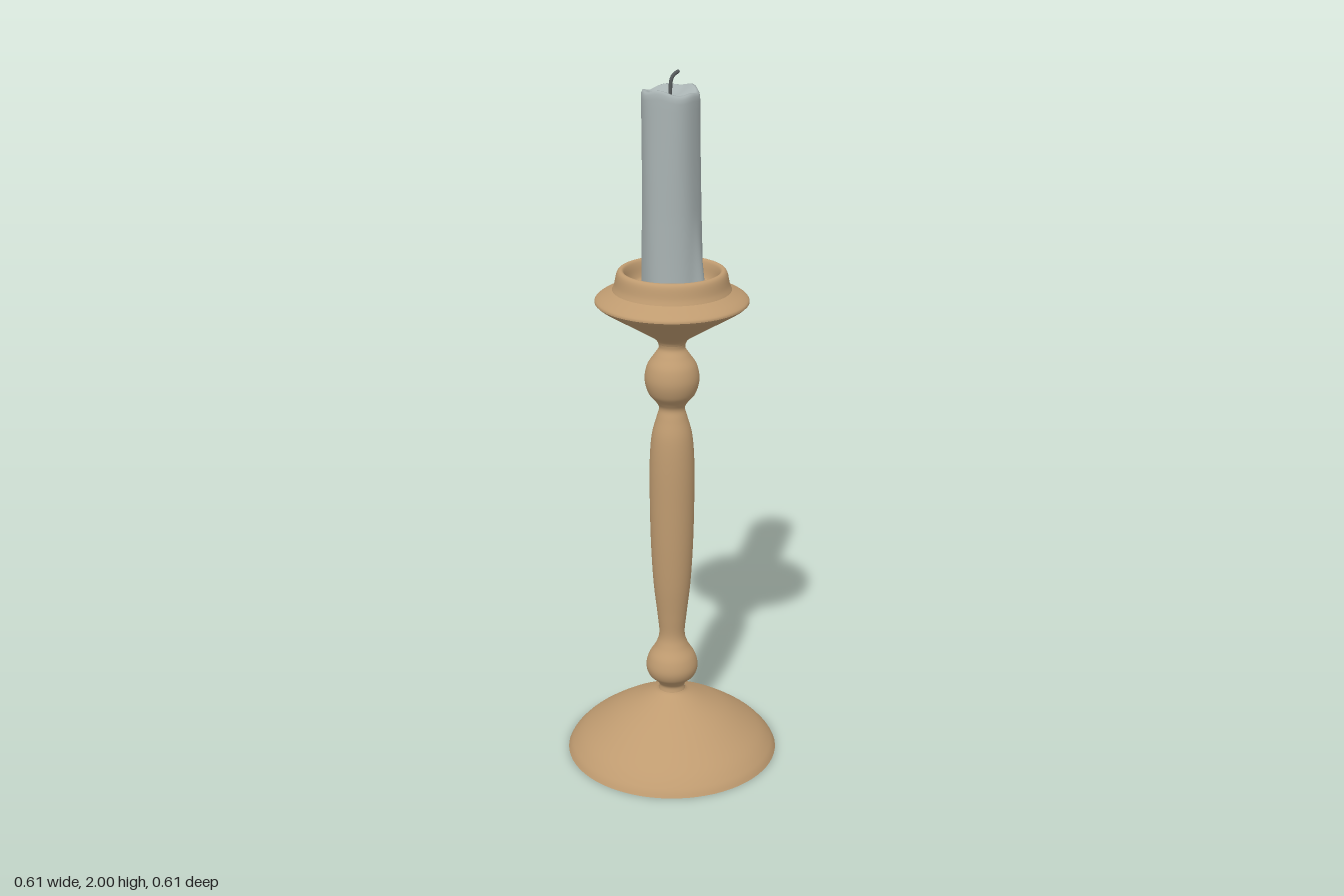
import * as THREE from 'three';
import { mergeVertices } from 'three/addons/utils/BufferGeometryUtils.js';

const wood = new THREE.MeshStandardMaterial({ color: 0xbf9b70 });
const wax = new THREE.MeshStandardMaterial({ color: 0xa9b3b3 });
const wickMaterial = new THREE.MeshStandardMaterial({ color: 0x55595a });

const toPoints = (pairs) => pairs.map(([r, y]) => new THREE.Vector2(r, y));

// Turned wooden piece; steps > 0 smooths the profile with a spline
function turned(name, pairs, steps = 0) {
  let points = toPoints(pairs);
  if (steps) points = new THREE.SplineCurve(points).getPoints(steps);
  const mesh = new THREE.Mesh(new THREE.LatheGeometry(points, 72), wood);
  mesh.name = name;
  return mesh;
}

// Candle: a lathe whose outline wobbles, with a drip at the foot and a melted rim
function candle() {
  const side = [];
  for (let i = 0; i <= 24; i++) side.push([0.079, 1.4 + (0.53 * i) / 24]);
  const profile = toPoints([
    [0, 1.4], [0.04, 1.4], ...side,
    [0.078, 1.942], [0.074, 1.95], [0.068, 1.951], [0.06, 1.945], [0.04, 1.936], [0.02, 1.932], [0, 1.93],
  ]);
  let geometry = new THREE.LatheGeometry(profile, 72);
  geometry.deleteAttribute('uv');
  geometry.deleteAttribute('normal');
  geometry = mergeVertices(geometry, 1e-5);

  const p = geometry.attributes.position;
  for (let i = 0; i < p.count; i++) {
    const x = p.getX(i), y = p.getY(i), z = p.getZ(i);
    const a = Math.atan2(z, x);
    const t = (y - 1.4) / 0.55;
    const foot = Math.max(0, 1 - t * 2.5);
    const drip = Math.exp(-(((a - 1.1) / 0.25) ** 2)) * foot ** 1.3;
    const wobble = 0.02 * Math.sin(3 * a + 0.6 + t) + 0.015 * Math.sin(5 * a - 2 * t)
      + 0.02 * Math.sin(2 * a + 4 * t);
    const k = 1 + wobble + 0.25 * drip + 0.03 * foot;
    const rim = Math.min(1, Math.hypot(x, z) / 0.075) ** 2 * Math.max(0, t - 0.8) * 5;
    const lift = 0.006 * Math.sin(2 * a + 2.2) + 0.004 * Math.sin(5 * a + 1);
    p.setXYZ(i, x * k - 0.004 * t, y + rim * lift, z * k - 0.002 * t);
  }
  geometry.computeVertexNormals();
  const mesh = new THREE.Mesh(geometry, wax);
  mesh.name = 'candle';
  return mesh;
}

// Wick: thin tube that bends over to one side, closed by a round tip
function wick() {
  const path = new THREE.CatmullRomCurve3([
    [-0.003, 1.92, -0.003], [-0.003, 1.955, -0.003], [0, 1.977, -0.003],
    [0.008, 1.988, -0.003], [0.022, 1.995, -0.003],
  ].map((v) => new THREE.Vector3(...v)));
  const group = new THREE.Group();
  group.name = 'wick';
  const stem = new THREE.Mesh(new THREE.TubeGeometry(path, 20, 0.005, 10), wickMaterial);
  stem.name = 'wickStem';
  const tip = new THREE.Mesh(new THREE.SphereGeometry(0.005, 10, 8), wickMaterial);
  tip.name = 'wickTip';
  tip.position.copy(path.getPoint(1));
  group.add(stem, tip);
  return group;
}

export function createModel() {
  const model = new THREE.Group();
  model.name = 'candlestick';
  model.add(
    // Foot
    turned('footUnderside', [[0, 0], [0.307, 0]]),
    turned('foot', [[0.307, 0], [0.293, 0.023], [0.255, 0.06], [0.175, 0.115], [0.095, 0.157], [0.05, 0.18], [0.039, 0.19]], 32),
    // Stem with its two round knops
    turned('stem', [
      [0.039, 0.188], [0.037, 0.205], [0.05, 0.222], [0.068, 0.24], [0.075, 0.267], [0.067, 0.3], [0.047, 0.334],
      [0.037, 0.37], [0.042, 0.43], [0.053, 0.53], [0.06, 0.65], [0.063, 0.78], [0.063, 0.9],
      [0.057, 0.985], [0.043, 1.04], [0.036, 1.068], [0.046, 1.088], [0.066, 1.113], [0.076, 1.152],
      [0.069, 1.192], [0.05, 1.222], [0.037, 1.242], [0.038, 1.258],
    ], 130),
    // Drip dish
    turned('dishUnderside', [[0.038, 1.256], [0.045, 1.268], [0.065, 1.283], [0.13, 1.323], [0.195, 1.363], [0.211, 1.376]], 24),
    turned('dishTop', [[0.211, 1.376], [0.209, 1.383], [0.197, 1.392], [0.178, 1.402], [0.163, 1.41]], 16),
    turned('dishRim', [
      [0.163, 1.41], [0.157, 1.425], [0.152, 1.45], [0.147, 1.461], [0.14, 1.465], [0.133, 1.462],
      [0.128, 1.45], [0.122, 1.425], [0.112, 1.413], [0.08, 1.41],
    ], 40),
    turned('dishFloor', [[0.08, 1.41], [0, 1.41]]),
    candle(),
    wick(),
  );
  return model;
}
